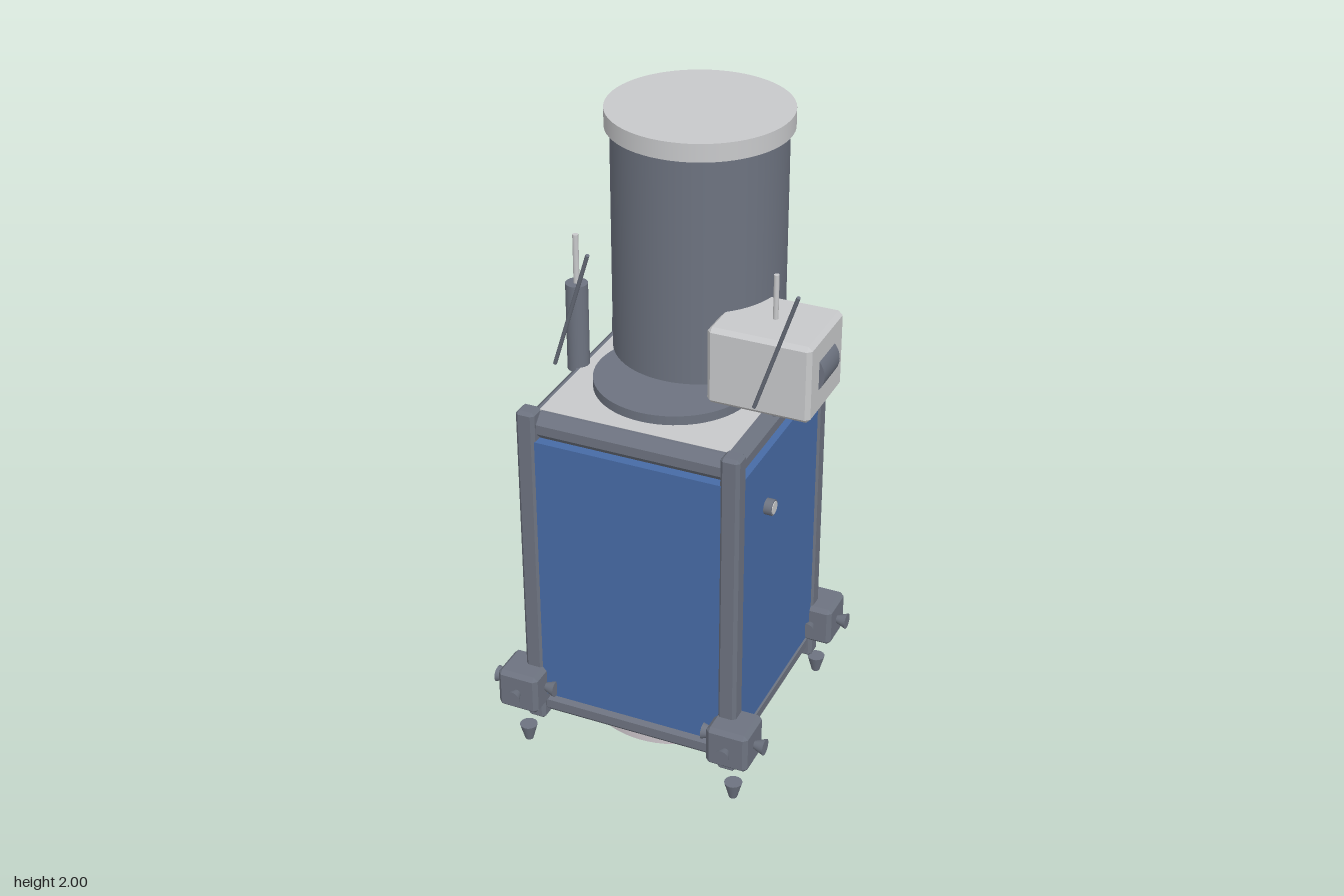
import * as THREE from 'three';
import { ConvexGeometry } from 'three/addons/geometries/ConvexGeometry.js';

const mat = (name, color) => {
  const m = new THREE.MeshStandardMaterial({ color });
  m.name = name;
  return m;
};

// Box with all edges cut at 45 degrees
function chamferBox(w, h, d, c) {
  const pts = [];
  for (const sx of [-1, 1]) for (const sy of [-1, 1]) for (const sz of [-1, 1]) {
    const x = w / 2, y = h / 2, z = d / 2;
    pts.push(
      new THREE.Vector3(sx * x, sy * (y - c), sz * (z - c)),
      new THREE.Vector3(sx * (x - c), sy * y, sz * (z - c)),
      new THREE.Vector3(sx * (x - c), sy * (y - c), sz * z));
  }
  return new ConvexGeometry(pts);
}

export function createModel() {
  const frame = mat('frame grey', 0x6d7380);
  const light = mat('light grey', 0xc8c9cb);
  const blue = mat('panel blue', 0x476ba6);
  const pale = mat('base disc grey', 0xcdc6cb);

  const model = new THREE.Group();
  const body = new THREE.Group();
  body.name = 'body';
  body.position.x = -0.02;
  model.add(body);

  const add = (parent, name, geometry, material, x = 0, y = 0, z = 0) => {
    const mesh = new THREE.Mesh(geometry, material);
    mesh.name = name;
    mesh.position.set(x, y, z);
    parent.add(mesh);
    return mesh;
  };
  const cyl = (r, h, n = 32) => new THREE.CylinderGeometry(r, r, h, n);

  // Corner posts and thruster blocks
  const post = chamferBox(0.06, 1.108, 0.06, 0.01);
  const block = chamferBox(0.135, 0.135, 0.135, 0.013);
  const nozzle = new THREE.CylinderGeometry(0.012, 0.026, 0.036, 20);
  const footNozzle = new THREE.CylinderGeometry(0.028, 0.013, 0.055, 20);
  for (const sx of [-1, 1]) for (const sz of [-1, 1]) {
    add(body, 'cornerPost', post, frame, sx * 0.322, 0.642, sz * 0.322);
    const thruster = new THREE.Group();
    thruster.name = 'thruster';
    thruster.position.set(sx * 0.35, 0.222, sz * 0.352);
    body.add(thruster);
    add(thruster, 'thrusterBlock', block, frame);
    for (const s of [-1, 1]) {
      add(thruster, 'sideNozzle', nozzle, frame, s * 0.083).rotation.z = s * Math.PI / 2;
    }
    add(thruster, 'frontNozzle', nozzle, frame, 0, 0, 0.083).rotation.x = -Math.PI / 2;
    add(thruster, 'lowerNozzle', footNozzle, frame, 0, -0.1945, 0);
  }

  // Four sides: blue panel with a beam above and below
  const beam = chamferBox(0.64, 0.09, 0.09, 0.03);
  const panel = new THREE.BoxGeometry(0.6, 0.91, 0.045);
  for (let i = 0; i < 4; i++) {
    const side = new THREE.Group();
    side.name = 'side';
    side.rotation.y = i * Math.PI / 2;
    body.add(side);
    add(side, 'sidePanel', panel, blue, 0, 0.645, 0.3225);
    add(side, 'upperBeam', beam, frame, 0, 1.14, 0.293);
    add(side, 'lowerBeam', beam, frame, 0, 0.145, 0.293);
  }

  // Top deck, underside and base disc
  add(body, 'topDeck', new THREE.BoxGeometry(0.596, 0.03, 0.596), light, 0, 1.171, 0);
  add(body, 'bottomDeck', new THREE.BoxGeometry(0.596, 0.03, 0.596), light, 0, 0.114, 0);
  add(body, 'baseDisc', cyl(0.275, 0.052, 64), pale, 0, 0.074, 0);
  add(body, 'deckDisc', cyl(0.243, 0.03, 64), frame, 0, 1.2, 0);

  // Large drum with its cap, hinge and support
  add(body, 'drum', cyl(0.259, 0.71, 64), frame, 0, 1.593, -0.176);
  add(body, 'drumCap', cyl(0.275, 0.055, 64), light, 0, 1.9725, -0.176);
  add(body, 'drumSupport', new THREE.BoxGeometry(0.36, 0.06, 0.175), light, 0, 1.212, -0.262);
  add(body, 'drumHinge', cyl(0.028, 0.42, 20), frame, 0, 1.236, -0.176).rotation.z = Math.PI / 2;

  // Sensor port on the left panel
  add(body, 'sensorPort', cyl(0.025, 0.026, 20), frame, 0.357, 0.915, 0.118).rotation.z = Math.PI / 2;
  add(body, 'sensorLens', cyl(0.02, 0.004, 20), light, 0.37, 0.915, 0.118).rotation.z = Math.PI / 2;

  // Camera head on a short stalk
  const camera = new THREE.Group();
  camera.name = 'cameraHead';
  camera.position.set(0.294, 1.348, 0);
  model.add(camera);
  add(camera, 'cameraBox', chamferBox(0.318, 0.245, 0.265, 0.013), light);
  add(camera, 'cameraStalk', cyl(0.035, 0.07, 24), frame, 0, -0.146, 0);
  add(camera, 'cameraAntenna', cyl(0.008, 0.14, 12), light, 0, 0.192, 0);
  add(camera, 'cameraRoller', cyl(0.07, 0.122, 32), frame, 0.106, 0.002, 0).rotation.x = Math.PI / 2;
  add(camera, 'cameraDome', new THREE.SphereGeometry(0.055, 24, 16), light, -0.14, 0.002, 0);

  // Mast antenna on the right beam
  add(model, 'mast', cyl(0.034, 0.285, 24), frame, -0.338, 1.3125, 0);
  add(model, 'mastTip', cyl(0.009, 0.16, 12), light, -0.338, 1.532, 0);

  // Two slanted whip antennas
  for (const x of [-0.338, 0.294]) {
    const a = new THREE.Vector3(x, 1.26, 0.153), b = new THREE.Vector3(x + 0.154, 1.678, 0.231);
    const whip = add(model, 'whipAntenna', cyl(0.006, a.distanceTo(b), 10), frame);
    whip.position.copy(a).lerp(b, 0.5);
    whip.quaternion.setFromUnitVectors(new THREE.Vector3(0, 1, 0), b.clone().sub(a).normalize());
  }
  return model;
}
